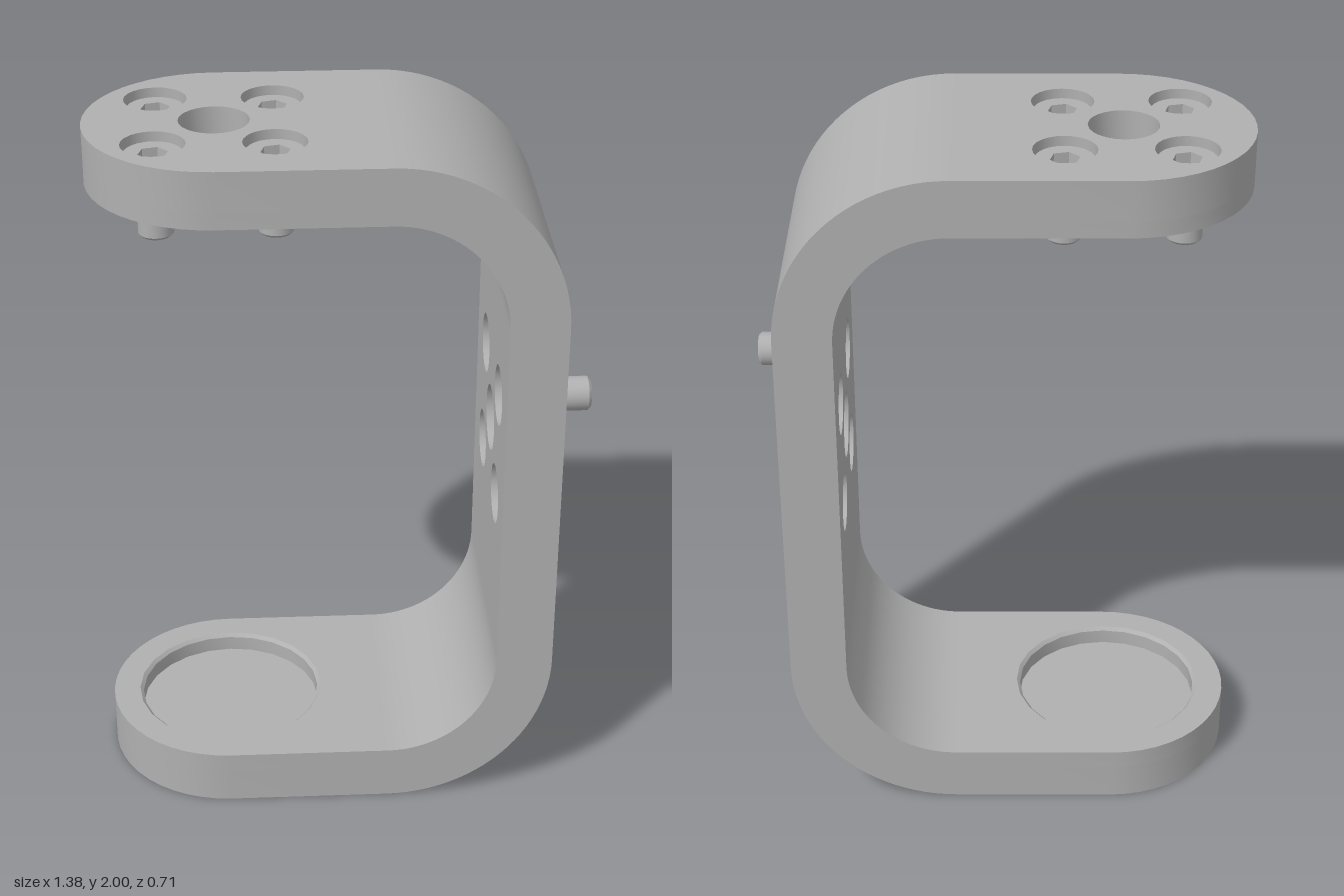
import * as THREE from 'three';
import { toCreasedNormals } from 'three/addons/utils/BufferGeometryUtils.js';

const HALF_W = 0.353;    // half width of the strap
const THICK = 0.16;      // strap thickness
const R_OUT = 0.47;      // outer bend radius
const BEND_X = 0.12;     // bend centre
const WALL_X = 0.43;     // inner face of the upright wall
const END_X = -0.337;    // centre of the rounded ends
const PITCH = 0.159;     // half spacing of the bolt pattern
const WALL_Y = 1.075;    // bolt pattern centre on the wall
const SHAFT_R = 0.048, BORE_R = 0.086, CENTRE_R = 0.096;
const BORE_DEPTH = 0.115, HEAD_RECESS = 0.025;

const corners = [[-1, -1], [-1, 1], [1, -1], [1, 1]];

function addHole(shape, x, y, r) {
  shape.holes.push(new THREE.Path().absarc(x, y, r, 0, Math.PI * 2, true));
}

function addBoltPattern(shape, x, y, r) {
  addHole(shape, x, y, CENTRE_R);
  for (const [i, j] of corners) addHole(shape, x + i * PITCH, y + j * PITCH, r);
}

function extrude(shape, depth) {
  return new THREE.ExtrudeGeometry(shape, { depth, bevelEnabled: false, curveSegments: 12 });
}

// Rounded-end arm outline, drawn in plan
function armShape() {
  const s = new THREE.Shape();
  s.moveTo(BEND_X, HALF_W);
  s.lineTo(END_X, HALF_W);
  s.absarc(END_X, 0, HALF_W, Math.PI / 2, Math.PI * 1.5, false);
  s.lineTo(BEND_X, -HALF_W);
  s.closePath();
  return s;
}

// Upright wall outline, drawn from the side
function wallShape() {
  const s = new THREE.Shape();
  s.moveTo(-HALF_W, R_OUT);
  s.lineTo(HALF_W, R_OUT);
  s.lineTo(HALF_W, 2 - R_OUT);
  s.lineTo(-HALF_W, 2 - R_OUT);
  s.closePath();
  return s;
}

export function createModel() {
  const group = new THREE.Group();
  const metal = new THREE.MeshStandardMaterial({ color: 0xb0b0b0 });
  metal.name = 'grey metal';

  function add(parent, name, geometry) {
    const mesh = new THREE.Mesh(toCreasedNormals(geometry, 0.5), metal);
    mesh.name = name;
    parent.add(mesh);
    return mesh;
  }
  const addArm = (name, shape, y, depth) =>
    add(group, name, extrude(shape, depth).rotateX(-Math.PI / 2).translate(0, y, 0));
  const addWall = (name, shape, x, depth) =>
    add(group, name, extrude(shape, depth).rotateY(Math.PI / 2).translate(x, 0, 0));

  // Top arm: counterbored layer above a layer with clearance holes
  const topBored = armShape(), topDrilled = armShape();
  addBoltPattern(topBored, END_X, 0, BORE_R);
  addBoltPattern(topDrilled, END_X, 0, SHAFT_R + 0.003);
  addArm('topArmCounterbored', topBored, 2 - BORE_DEPTH, BORE_DEPTH);
  addArm('topArmDrilled', topDrilled, 2 - THICK, THICK - BORE_DEPTH);

  // Bottom arm: solid floor with a chamfered round pocket
  const floorY = 0.105;
  const pocketed = armShape();
  addHole(pocketed, END_X, 0, 0.275);
  addArm('bottomArmFloor', armShape(), 0, floorY);
  addArm('bottomArmRim', pocketed, floorY, THICK - floorY);
  add(group, 'pocketWall', new THREE.LatheGeometry([
    new THREE.Vector2(0.275, THICK),
    new THREE.Vector2(0.265, THICK - 0.01),
    new THREE.Vector2(0.265, floorY),
  ], 24).translate(END_X, 0, 0));

  // Upright wall: counterbored from the inside
  const wallBored = wallShape(), wallDrilled = wallShape();
  addBoltPattern(wallBored, 0, WALL_Y, BORE_R);
  addBoltPattern(wallDrilled, 0, WALL_Y, SHAFT_R + 0.003);
  addWall('wallCounterbored', wallBored, WALL_X, BORE_DEPTH);
  addWall('wallDrilled', wallDrilled, WALL_X + BORE_DEPTH, THICK - BORE_DEPTH);

  // Quarter-ring bends joining wall and arms
  for (const [name, y, start] of [['topBend', 2 - R_OUT, 0], ['bottomBend', R_OUT, -Math.PI / 2]]) {
    const s = new THREE.Shape();
    s.absarc(BEND_X, y, R_OUT, start, start + Math.PI / 2, false);
    s.absarc(BEND_X, y, R_OUT - THICK, start + Math.PI / 2, start, true);
    s.closePath();
    add(group, name, extrude(s, HALF_W * 2).translate(0, 0, -HALF_W));
  }

  // Socket-head screw, head top at the origin, shaft pointing down
  function addScrew(name, x, y, z) {
    const screw = new THREE.Group();
    screw.name = name;
    const headR = 0.079, socketDepth = 0.05, headBottom = -(BORE_DEPTH - HEAD_RECESS);
    const ring = new THREE.Shape().absarc(0, 0, headR, 0, Math.PI * 2, false);
    const hex = new THREE.Path();
    for (let i = 0; i < 6; i++) {
      const a = 0.25 - i * Math.PI / 3;
      hex[i ? 'lineTo' : 'moveTo'](0.041 * Math.cos(a), 0.041 * Math.sin(a));
    }
    hex.closePath();
    ring.holes.push(hex);
    add(screw, 'socketHead', extrude(ring, socketDepth).rotateX(-Math.PI / 2).translate(0, -socketDepth, 0));
    const baseH = -socketDepth - headBottom;
    add(screw, 'headBase', new THREE.CylinderGeometry(headR, headR, baseH, 24)
      .translate(0, headBottom + baseH / 2, 0));
    add(screw, 'shaft', new THREE.LatheGeometry([
      new THREE.Vector2(0, -0.23),
      new THREE.Vector2(SHAFT_R - 0.008, -0.23),
      new THREE.Vector2(SHAFT_R, -0.222),
      new THREE.Vector2(SHAFT_R, headBottom),
    ], 24));
    screw.position.set(x, y, z);
    group.add(screw);
    return screw;
  }

  for (const [i, j] of corners) addScrew('topScrew', END_X + i * PITCH, 2 - HEAD_RECESS, j * PITCH);
  addScrew('wallScrew', WALL_X + HEAD_RECESS, WALL_Y + PITCH, PITCH).rotation.z = Math.PI / 2;

  return group;
}
